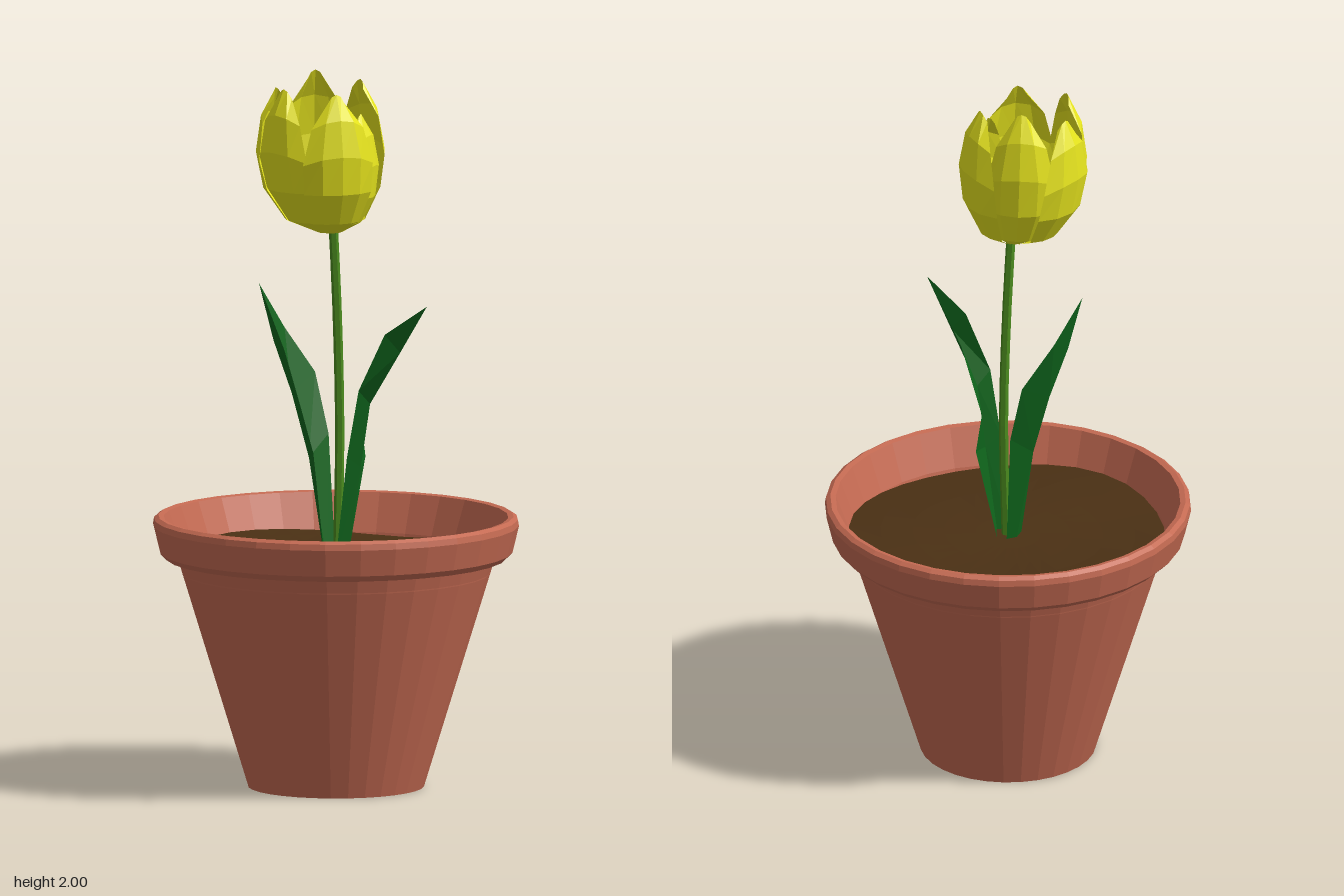
import * as THREE from 'three';

const material = (color, side = THREE.FrontSide) =>
  new THREE.MeshStandardMaterial({ color, flatShading: true, side });

// Surface through rows of [x, y, z] points; all rows have the same length
function loft(rows) {
  const n = rows[0].length;
  const index = [];
  for (let i = 0; i < rows.length - 1; i++) {
    for (let j = 0; j < n - 1; j++) {
      const a = i * n + j, b = a + n;
      index.push(a, a + 1, b + 1, a, b + 1, b);
    }
  }
  const geo = new THREE.BufferGeometry();
  geo.setAttribute('position', new THREE.Float32BufferAttribute(rows.flat(2), 3));
  geo.setIndex(index);
  const flat = geo.toNonIndexed();
  flat.computeVertexNormals();
  return flat;
}

// Cupped petal: rows climb the bulb profile, columns spread around it
function petal(angle, radius, top) {
  // height fraction, radius fraction, half spread in radians
  const profile = [
    [0, 0.2, 0.9], [0.09, 0.62, 0.68], [0.31, 0.91, 0.68], [0.58, 1, 0.64],
    [0.83, 0.92, 0.5], [1, 0.74, 0.2],
  ];
  const rows = profile.map(([h, r, spread], i) => {
    const row = [];
    for (let j = 0; j <= 4; j++) {
      const u = j / 2 - 1;
      const a = angle + u * spread;
      const rr = radius * r * (1 - 0.05 * u * u);
      const y = 1.56 + (top - 1.56) * h - (i > 2 ? 0.025 * u * u : 0);
      const lean = -0.02 - 0.05 * Math.sqrt(h) * (1 - 0.35 * h);
      row.push([lean + rr * Math.sin(a), y, rr * Math.cos(a)]);
    }
    return row;
  });
  return loft(rows);
}

export function createModel() {
  const group = new THREE.Group();
  const add = (name, geo, mat, parent = group) => {
    const mesh = new THREE.Mesh(geo, mat);
    mesh.name = name;
    parent.add(mesh);
    return mesh;
  };

  // Tapered pot with a thick rolled rim and an open inside
  const potProfile = [
    [0, 0], [0.245, 0], [0.445, 0.65], [0.475, 0.643], [0.492, 0.66],
    [0.51, 0.735], [0.507, 0.752], [0.495, 0.76], [0.48, 0.757], [0.44, 0.65], [0.43, 0.6],
  ].map(([x, y]) => new THREE.Vector2(x, y));
  add('pot', new THREE.LatheGeometry(potProfile, 32), material(0xc46a52, THREE.DoubleSide));

  // Gently uneven soil
  const soil = new THREE.RingGeometry(0.001, 0.443, 32, 5).rotateX(-Math.PI / 2);
  const p = soil.attributes.position;
  for (let i = 0; i < p.count; i++) {
    const x = p.getX(i), z = p.getZ(i);
    p.setY(i, 0.652 + 0.008 * Math.sin(9 * z + 2 * x) + 0.006 * Math.sin(7 * x - 4 * z));
  }
  add('soil', soil, material(0x4a3014));

  // Slightly bent stem
  const stemPath = new THREE.CatmullRomCurve3([
    new THREE.Vector3(0.005, 0.63, 0), new THREE.Vector3(0.015, 1.0, -0.005),
    new THREE.Vector3(0.003, 1.35, 0), new THREE.Vector3(-0.012, 1.6, 0.003),
  ]);
  add('stem', new THREE.TubeGeometry(stemPath, 8, 0.013, 6), material(0x4a8a1e));

  // Folded leaves: each row is one edge, the keel, the other edge
  const leafMat = material(0x0f651c, THREE.DoubleSide);
  add('rightLeaf', loft([
    [[-0.04, 0.64, 0.005], [-0.015, 0.64, -0.025], [0.015, 0.64, -0.03]],
    [[-0.073, 0.94, 0.0], [-0.055, 0.92, -0.055], [0.02, 0.98, -0.075]],
    [[-0.108, 1.08, -0.015], [-0.09, 1.1, -0.09], [0.0, 1.15, -0.115]],
    [[-0.148, 1.23, -0.03], [-0.14, 1.25, -0.105], [-0.09, 1.28, -0.13]],
    [[-0.175, 1.41, -0.125], [-0.175, 1.41, -0.125], [-0.175, 1.41, -0.125]],
  ]), leafMat);
  add('leftLeaf', loft([
    [[-0.015, 0.64, 0.025], [0.02, 0.64, 0.03], [0.035, 0.64, -0.015]],
    [[0.0, 0.93, 0.06], [0.045, 0.9, 0.06], [0.095, 0.92, 0.0]],
    [[0.02, 1.12, 0.09], [0.06, 1.08, 0.085], [0.07, 1.02, 0.02]],
    [[0.075, 1.28, 0.14], [0.11, 1.23, 0.165], [0.115, 1.22, 0.065]],
    [[0.155, 1.365, 0.235], [0.155, 1.365, 0.235], [0.155, 1.365, 0.235]],
  ]), leafMat);

  // Flower head: three outer petals around three inner ones
  const flower = new THREE.Group();
  flower.name = 'flower';
  group.add(flower);
  const petalMat = material(0xe6e41e, THREE.DoubleSide);
  const petals = [
    ['outerPetal', -10, 0.183, 1.965], ['outerPetal', 95, 0.188, 1.98], ['outerPetal', 215, 0.183, 1.96],
    ['innerPetal', 40, 0.165, 1.9], ['innerPetal', 155, 0.168, 2.0], ['innerPetal', 280, 0.178, 1.975],
  ];
  for (const [name, deg, radius, top] of petals) {
    add(name, petal(THREE.MathUtils.degToRad(deg), radius, top), petalMat, flower);
  }

  return group;
}
